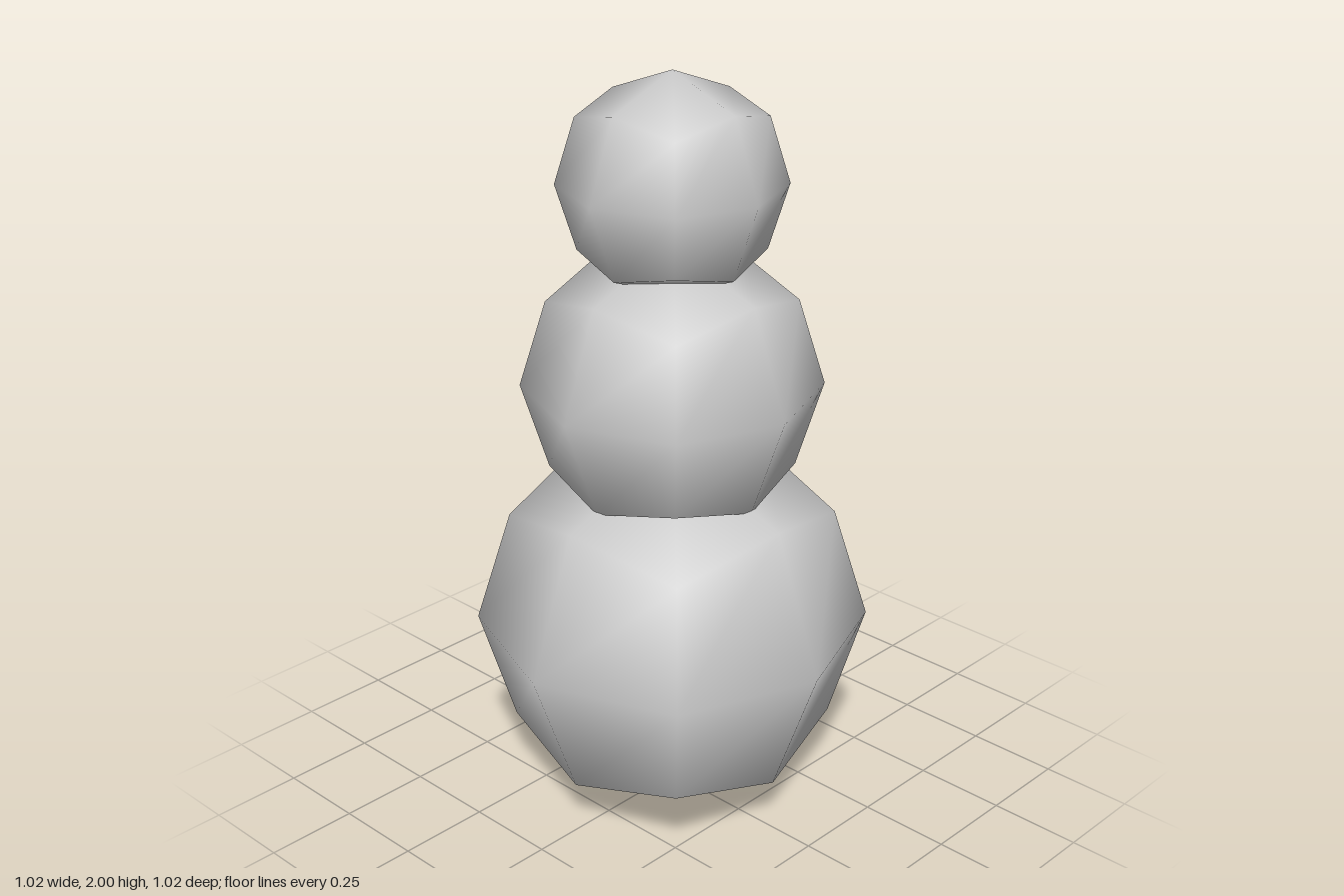
import * as THREE from 'three';
import { mergeVertices } from 'three/addons/utils/BufferGeometryUtils.js';

const snow = new THREE.MeshStandardMaterial({ color: 0xcccccc });
snow.name = 'snow grey';

// Smooth ball of 24 quads: a 2x2x2 divided cube whose face centres,
// edge midpoints and corners are pulled in to a rounded shape.
function ballGeometry(radius) {
  const box = new THREE.BoxGeometry(2, 2, 2, 2, 2, 2);
  box.deleteAttribute('uv');
  box.deleteAttribute('normal');
  const geo = mergeVertices(box);
  const pull = [0, 1, 0.726, 0.5956];
  const pos = geo.attributes.position;
  const v = new THREE.Vector3();
  for (let i = 0; i < pos.count; i++) {
    v.fromBufferAttribute(pos, i).round();
    const k = Math.abs(v.x) + Math.abs(v.y) + Math.abs(v.z);
    v.multiplyScalar(radius * pull[k]);
    pos.setXYZ(i, v.x, v.y, v.z);
  }
  geo.clearGroups();
  geo.computeVertexNormals();
  return geo;
}

export function createModel() {
  const model = new THREE.Group();
  model.name = 'snowman';

  // Stacked snowballs
  const balls = [
    ['lowerBall', 0.51, 0.511],
    ['middleBall', 1.183, 0.382],
    ['head', 1.716, 0.284],
  ];
  for (const [name, y, radius] of balls) {
    const ball = new THREE.Mesh(ballGeometry(radius), snow);
    ball.name = name;
    ball.position.y = y;
    model.add(ball);
  }

  // Blunt tapered nose pointing to the model's left
  const profile = [[0, 0.2], [0.034, 0.22], [0.033, 0.27], [0.025, 0.374], [0, 0.395]]
    .map(([r, d]) => new THREE.Vector2(r, d));
  const nose = new THREE.Mesh(new THREE.LatheGeometry(profile, 8), snow);
  nose.name = 'nose';
  nose.rotation.z = -Math.PI / 2;
  nose.position.y = 1.717;
  model.add(nose);

  return model;
}
